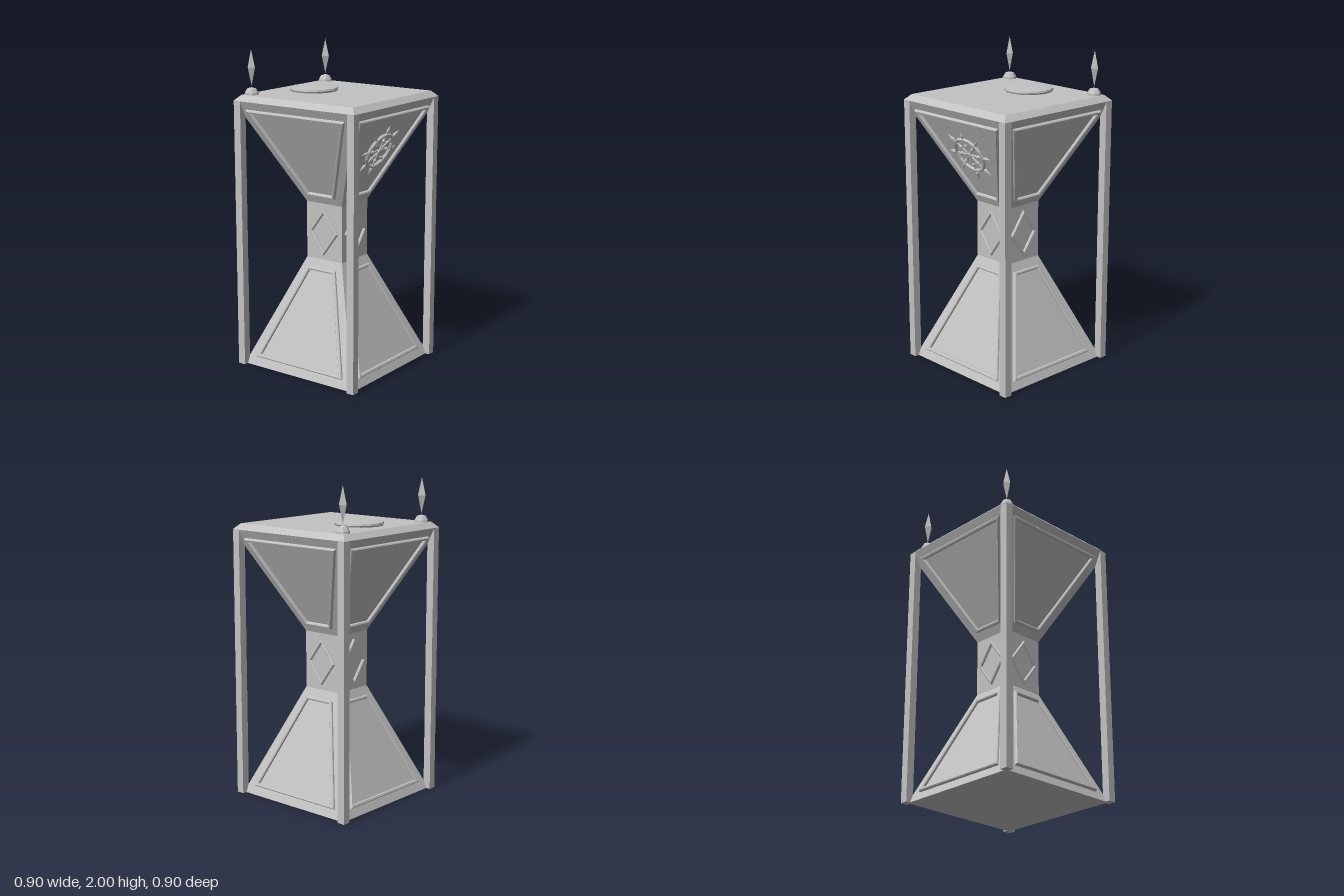
import * as THREE from 'three';

const stone = new THREE.MeshStandardMaterial({ color: 0xc2c2c2, flatShading: true });
stone.name = 'grey stone';

function part(name, geometry, x = 0, y = 0, z = 0) {
  const mesh = new THREE.Mesh(geometry, stone);
  mesh.name = name;
  mesh.position.set(x, y, z);
  return mesh;
}

// Revolved profile of [radius, y] pairs, listed from bottom to top
function lathe(profile, sides, start = 0) {
  return new THREE.LatheGeometry(profile.map(([r, y]) => new THREE.Vector2(r, y)), sides, start);
}

// Bevelled moulding between an outer and an inner outline
function moulding(outer, inner) {
  const toPoints = list => list.map(([x, y]) => new THREE.Vector2(x, y));
  const shape = new THREE.Shape(toPoints(outer));
  shape.holes.push(new THREE.Path(toPoints(inner)));
  return new THREE.ExtrudeGeometry(shape, {
    depth: 0.012, bevelEnabled: true, bevelThickness: 0.006, bevelSize: 0.006, bevelOffset: -0.006, bevelSegments: 1
  });
}

// Trapezoid frame lying in a sloped face; half widths at its low and high edges
function slopedFrame(name, low, high, height) {
  const t = 0.022, k = (high - low) / height;
  const side = t * Math.hypot(1, k);
  const h = height / 2;
  const outer = [[-low, -h], [low, -h], [high, h], [-high, h]];
  const a = low + k * t - side, b = high - k * t - side;
  const inner = [[-a, -h + t], [-b, h - t], [b, h - t], [a, -h + t]];
  return part(name, moulding(outer, inner));
}

// Ship's-wheel ornament in the xy plane
function makeWheel() {
  const wheel = new THREE.Group();
  wheel.name = 'wheelOrnament';
  wheel.add(part('wheelRim', new THREE.TorusGeometry(0.115, 0.011, 6, 16)));
  const hub = part('wheelHub', new THREE.CylinderGeometry(0.02, 0.024, 0.024, 8));
  hub.rotation.x = Math.PI / 2;
  wheel.add(hub);
  for (let i = 0; i < 8; i++) {
    const spoke = new THREE.Group();
    spoke.name = 'wheelSpoke';
    spoke.rotation.z = i * Math.PI / 4;
    spoke.add(
      part('spokeRod', new THREE.CylinderGeometry(0.006, 0.006, 0.14, 6), 0, 0.07, 0),
      part('spokeBead', lathe([[0, 0.055], [0.013, 0.07], [0, 0.098]], 6)),
      part('spokeHandle', lathe([[0.005, 0.12], [0.011, 0.14], [0, 0.186]], 6))
    );
    wheel.add(spoke);
  }
  return wheel;
}

export function createModel() {
  const model = new THREE.Group();
  model.name = 'pedestal';

  // Square hourglass body with bevelled slab on top
  const sections = [[0, 0], [0.42, 0], [0.135, 0.69], [0.135, 1.05], [0.45, 1.69], [0.415, 1.725], [0, 1.725]];
  model.add(part('body', lathe(sections.map(([r, y]) => [r * Math.SQRT2, y]), 4, Math.PI / 4)));

  // Slopes: inclination per unit of height
  const lowSlope = (0.42 - 0.135) / 0.69;
  const highSlope = (0.45 - 0.135) / 0.64;
  const lowAngle = Math.atan(lowSlope), highAngle = Math.atan(highSlope);

  for (let i = 0; i < 4; i++) {
    const face = new THREE.Group();
    face.name = 'faceTrim';
    face.rotation.y = i * Math.PI / 2;

    const lower = slopedFrame('lowerFrame', 0.335, 0.105, 0.585 / Math.cos(lowAngle));
    lower.position.set(0, 0.345, 0.42 - lowSlope * 0.345);
    lower.rotation.x = -lowAngle;

    const upper = slopedFrame('upperFrame', 0.105, 0.368, 0.54 / Math.cos(highAngle));
    upper.position.set(0, 1.37, 0.135 + highSlope * 0.32);
    upper.rotation.x = highAngle;

    const diamond = part('diamondFrame', moulding(
      [[0, -0.148], [0.107, 0], [0, 0.148], [-0.107, 0]],
      [[0, -0.12], [-0.087, 0], [0, 0.12], [0.087, 0]]
    ), 0, 0.868, 0.132);
    face.add(lower, upper, diamond);

    if (i === 0) {
      const wheel = makeWheel();
      wheel.position.set(0, 1.4, 0.135 + highSlope * 0.35 + 0.008);
      wheel.rotation.x = highAngle;
      face.add(wheel);
    }
    model.add(face);
  }

  // Corner posts
  for (const x of [-0.424, 0.424]) {
    for (const z of [-0.424, 0.424]) {
      model.add(part('cornerPost', new THREE.BoxGeometry(0.05, 1.69, 0.05), x, 0.845, z));
    }
  }

  // Shallow domed disc
  model.add(part('topDisc', lathe([[0.145, 1.72], [0.153, 1.735], [0.15, 1.746], [0.08, 1.751], [0, 1.753]], 16), 0, 0, -0.18));

  // Rear finials: faceted knob below a slender spike
  for (const x of [-0.371, 0.371]) {
    model.add(
      part('finialKnob', lathe([[0.043, 1.722], [0.042, 1.738], [0.028, 1.762], [0, 1.77]], 8), x, 0, -0.371),
      part('finialSpike', lathe([[0, 1.775], [0.029, 1.89], [0, 2]], 4), x, 0, -0.371)
    );
  }
  return model;
}
